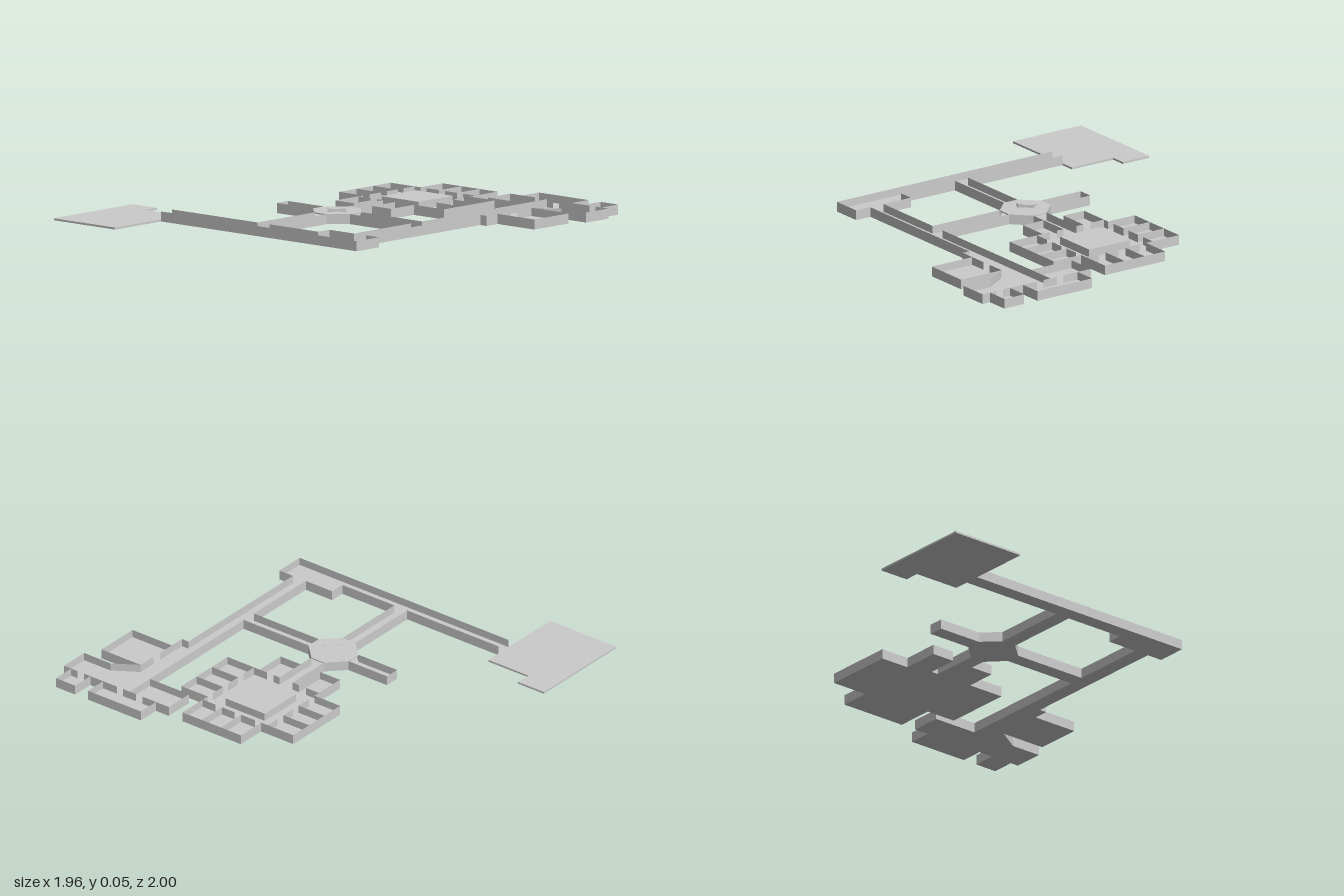
import * as THREE from 'three';

const FLOOR = 0.01, TOP = 0.05;

// Plan points are [x, z].
const outline = [
  [-.57, .59], [0, .59], [0, .18], [-.085, .1], [-.325, .1], [-.325, .02], [-.085, .02], [0, -.065],
  [0, -.315], [-.04, -.315], [-.04, -.15], [-.165, -.15], [-.165, -.35], [-.325, -.35], [-.325, -.72],
  [-.125, -.72], [-.125, -.88], [.24, -.88], [.24, -.68], [.405, -.68], [.405, -.315], [.205, -.315],
  [.205, -.15], [.08, -.15], [.08, -.065], [.165, .02], [.57, .02], [.57, -.72], [.325, -.72],
  [.325, -.88], [.405, -.88], [.405, -1], [.735, -1], [.735, -.88], [.815, -.88], [.815, -1],
  [.935, -1], [.935, -.88], [.98, -.88], [.98, -.72], [.815, -.72], [.69, -.64], [.935, -.64],
  [.935, -.395], [.69, -.395], [.69, -.315], [.65, -.315], [.65, .51], [.735, .51], [.735, .67], [-.57, .67],
];
const loopGap = [[.08, .18], [.165, .1], [.57, .1], [.57, .51], [.405, .51], [.405, .59], [.08, .59], [.08, .18]];
const courtyard = [[-.98, .43], [-.82, .43], [-.82, .51], [-.57, .51], [-.57, 1], [-.98, 1]];
const octagon = [[0, -.065], [.08, -.065], [.165, .02], [.165, .1], [.08, .18], [0, .18], [-.085, .1], [-.085, .02]];

const toVec = ([x, z]) => new THREE.Vector2(x, -z);

// Flat slab from a plan outline, lying between two heights
function slab(points, y0, y1, hole) {
  const shape = new THREE.Shape(points.map(toVec));
  if (hole) shape.holes.push(new THREE.Path(hole.map(toVec)));
  const geo = new THREE.ExtrudeGeometry(shape, { depth: y1 - y0, bevelEnabled: false });
  return geo.rotateX(-Math.PI / 2).translate(0, y0, 0);
}

// Upright sheets standing on plan segments [x0, z0, x1, z1]
function sheets(segments) {
  const pos = [];
  for (const [a, b, c, d] of segments) {
    pos.push(a, 0, b, c, 0, d, c, TOP, d, a, 0, b, c, TOP, d, a, TOP, b);
  }
  const geo = new THREE.BufferGeometry();
  geo.setAttribute('position', new THREE.Float32BufferAttribute(pos, 3));
  geo.computeVertexNormals();
  return geo;
}

const along = (pts) => pts.slice(1).map((p, i) => [...pts[i], ...p]);
// Straight wall broken by doorways: spans are pairs along the wall
const wallX = (x, spans) => spans.map(([a, b]) => [x, a, x, b]);
const wallZ = (z, spans) => spans.map(([a, b]) => [a, z, b, z]);

export function createModel() {
  const group = new THREE.Group();
  const solid = new THREE.MeshStandardMaterial({ color: 0xcccccc, flatShading: true });
  const sheet = new THREE.MeshStandardMaterial({ color: 0xcccccc, flatShading: true, side: THREE.DoubleSide });
  const add = (name, geo, mat = solid) => {
    const mesh = new THREE.Mesh(geo, mat);
    mesh.name = name;
    group.add(mesh);
  };

  // Floors
  add('floor', slab(outline, 0, FLOOR, loopGap.slice(0, -1)));
  add('courtyardFloor', slab(courtyard, 0, FLOOR));

  // Outer walls follow the floor edge; the courtyard end stays open
  add('outerWalls', sheets([...along(outline), ...along(loopGap)]), sheet);

  // Room fronts with doorways around the main hall
  add('hallWalls', sheets([
    ...wallX(-.165, [[-.72, -.64], [-.6, -.52], [-.48, -.395]]),
    ...wallX(.24, [[-.64, -.56], [-.52, -.44], [-.4, -.315]]),
    ...wallZ(-.72, [[-.165, -.125], [-.085, 0], [.04, .12], [.16, .24]]),
    ...wallZ(-.315, [[-.165, -.085], [.08, .12], [.16, .24]]),
  ]), sheet);

  // Partitions between neighbouring rooms
  add('roomPartitions', sheets([
    ...wallX(0, [[-.88, -.72]]), ...wallX(.12, [[-.88, -.72]]),
    ...[-.595, -.475].map((z) => [-.325, z, -.165, z]),
    ...[-.56, -.44].map((z) => [.24, z, .405, z]),
    ...wallX(.08, [[-.315, -.15]]),
  ]), sheet);

  // Walls of the far wing
  add('wingWalls', sheets([
    ...wallZ(-.88, [[.405, .49], [.53, .61], [.65, .735], [.815, .855], [.895, .935]]),
    ...wallX(.57, [[-.88, -.72]]),
    ...wallX(.69, [[-.64, -.54], [-.49, -.395]]),
  ]), sheet);

  // Raised platform in the middle of the main hall
  const platform = new THREE.BoxGeometry(.245, TOP - FLOOR, .245);
  add('hallPlatform', platform.translate(.038, (TOP + FLOOR) / 2, -.518));

  // Crossing canopy with a star-shaped opening
  const star = Array.from({ length: 8 }, (_, i) => {
    const r = i % 2 ? .04 : .075, a = i * Math.PI / 4;
    return [.04 + r * Math.cos(a), .06 + r * Math.sin(a)];
  });
  add('crossingCanopy', slab(octagon, TOP - .006, TOP, star));

  return group;
}
